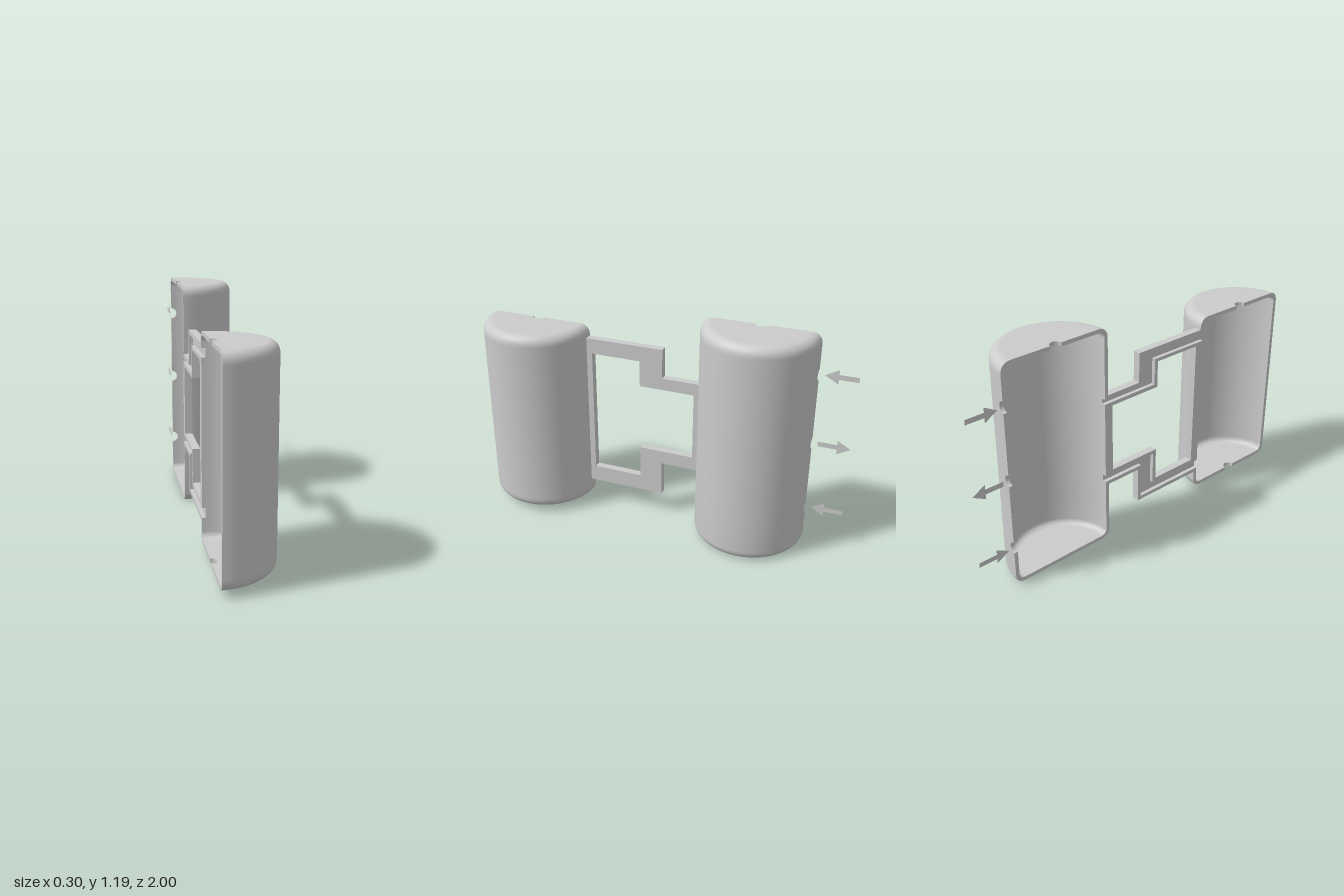
import * as THREE from 'three';
import { toCreasedNormals } from 'three/addons/utils/BufferGeometryUtils.js';

const CUT = -0.148;      // x of the section plane
const R = 0.296;         // tank radius
const WALL = 0.02;       // wall thickness of tanks and pipes
const FILLET = 0.05;
const SEGMENTS = 48;
const HOLE = 0.03;       // radius of the ports

const grey = new THREE.MeshStandardMaterial({ color: 0xcccccc });
const greyFlat = new THREE.MeshStandardMaterial({ color: 0xcccccc, side: THREE.DoubleSide });

function addMesh(parent, name, geometry, material = grey) {
  const mesh = new THREE.Mesh(geometry, material);
  mesh.name = name;
  parent.add(mesh);
  return mesh;
}

// Adds the triangles of a grid of points to a position list
function sheet(rows, out) {
  for (let i = 0; i < rows.length - 1; i++) {
    for (let j = 0; j < rows[i].length - 1; j++) {
      const a = rows[i][j], b = rows[i + 1][j], c = rows[i + 1][j + 1], d = rows[i][j + 1];
      for (const tri of [[a, b, c], [a, c, d]]) {
        const area = tri[1].clone().sub(tri[0]).cross(tri[2].clone().sub(tri[0])).length();
        if (area > 1e-10) for (const p of tri) out.push(p.x, p.y, p.z);
      }
    }
  }
}

// Side-wall rows [y, front notch depth, back notch depth], from top to bottom
const slot = (top, bottom, front) =>
  [[top, 0], [top, WALL], [bottom, WALL], [bottom, 0]].map(([y, d]) => (front ? [y, d, 0] : [y, 0, d]));

function roundPort(y) {
  const rows = [];
  for (let k = -6; k <= 6; k++) {
    const a = (k * Math.PI) / 12;
    rows.push([y - HOLE * Math.sin(a), 0, Math.max(0, HOLE * Math.cos(a))]);
  }
  return rows;
}

// Hollow half tank, open at the section plane, with notches in its straight edges
function halfTank({ z, bottom, top, topHole, bottomHole, notches }) {
  const layer = (inset) => {
    const r = R - inset, f = FILLET - inset, t = top - inset, b = bottom + inset;
    const profile = [[topHole, t, 0, 0], [r - f - 0.01, t, 0, 0]];
    for (let k = 0; k <= 6; k++) {
      const a = (k * Math.PI) / 12;
      profile.push([r - f + f * Math.sin(a), t - f + f * Math.cos(a), 0, 0]);
    }
    profile.push([r, t - f - 0.01, 0, 0]);
    for (const [y, front, back] of notches) profile.push([r, y, front, back]);
    profile.push([r, b + f + 0.01, 0, 0]);
    for (let k = 6; k >= 0; k--) {
      const a = (k * Math.PI) / 12;
      profile.push([r - f + f * Math.sin(a), b + f - f * Math.cos(a), 0, 0]);
    }
    profile.push([r - f - 0.01, b, 0, 0], [bottomHole, b, 0, 0]);

    return profile.map(([radius, y, front, back]) => {
      const start = front ? Math.asin(front / radius) : 0;
      const end = Math.PI - (back ? Math.asin(back / radius) : 0);
      return Array.from({ length: SEGMENTS + 1 }, (_, k) => {
        const a = Math.min(Math.max((k / SEGMENTS) * Math.PI, start), end);
        return new THREE.Vector3(CUT + radius * Math.sin(a), y, z + radius * Math.cos(a));
      });
    });
  };

  const outer = layer(0), inner = layer(WALL), positions = [];
  sheet([inner[0], ...outer, ...inner.slice().reverse()], positions);
  // Rims on the section plane
  const column = (rows, k) => rows.map((row) => row[k]);
  sheet([column(outer, 0), column(inner, 0)], positions);
  sheet([column(inner, SEGMENTS), column(outer, SEGMENTS)], positions);

  const geometry = new THREE.BufferGeometry();
  geometry.setAttribute('position', new THREE.Float32BufferAttribute(positions, 3));
  return toCreasedNormals(geometry, 0.6);
}

// Outline in (z, y), extruded along x from x0 to x1
const points = (list) => list.map(([z, y]) => new THREE.Vector2(z, y));
function slab(outline, hole, x0, x1) {
  const shape = new THREE.Shape(points(outline));
  if (hole) shape.holes.push(new THREE.Path(points(hole)));
  return new THREE.ExtrudeGeometry(shape, { depth: x1 - x0, bevelEnabled: false })
    .rotateY(-Math.PI / 2)
    .translate(x1, 0, 0);
}

// Flat arrow along z
function arrow(tip, tail, y) {
  const dir = Math.sign(tail - tip), neck = tip + dir * 0.068, s = 0.013, h = 0.038;
  const outline = [[tip, y], [neck, y + h], [neck, y + s], [tail, y + s],
    [tail, y - s], [neck, y - s], [neck, y - h]];
  return new THREE.ShapeGeometry(new THREE.Shape(points(outline)))
    .rotateY(-Math.PI / 2)
    .translate(CUT, 0, 0);
}

export function createModel() {
  const model = new THREE.Group();
  model.name = 'sectionedTanks';

  // Tanks
  addMesh(model, 'frontTank', halfTank({
    z: 0.704, bottom: 0.027, top: 1.057, topHole: HOLE, bottomHole: HOLE,
    notches: [...slot(0.975, 0.93, false), ...slot(0.2, 0.15, false)],
  }));
  const ports = [0.98, 0.6, 0.22];
  addMesh(model, 'backTank', halfTank({
    z: -0.511, bottom: 0, top: 1.193, topHole: HOLE, bottomHole: 0,
    notches: [...roundPort(ports[0]), ...slot(0.815, 0.79, true), ...roundPort(ports[1]),
      ...slot(0.38, 0.345, true), ...roundPort(ports[2])],
  }));

  // Stepped square pipes, cut open as channels
  const pipes = new THREE.Group();
  pipes.name = 'pipes';
  model.add(pipes);
  const outside = CUT + 0.04, floor = CUT + 0.02;
  const opening = [[0.38, 0.912], [0.11, 0.912], [0.11, 0.77], [-0.188, 0.77],
    [-0.188, 0.4], [0.11, 0.4], [0.11, 0.22], [0.38, 0.22]];
  const plate = [[0.42, 0.995], [-0.015, 0.995], [-0.015, 0.835], [-0.225, 0.835],
    [-0.225, 0.325], [-0.015, 0.325], [-0.015, 0.13], [0.42, 0.13]];
  const ring = [[0.41, 0.93], [0.09, 0.93], [0.09, 0.79], [-0.217, 0.79],
    [-0.217, 0.38], [0.09, 0.38], [0.09, 0.2], [0.41, 0.2]];
  addMesh(pipes, 'pipeFloor', slab(plate, opening, floor, outside));
  addMesh(pipes, 'pipeInnerWall', slab(ring, opening, CUT, floor));

  const outerWall = (high, low, w) => [[0.425, high], [-0.015, high], [-0.015, low], [-0.235, low],
    [-0.235, low - w], [0.005, low - w], [0.005, high - w], [0.425, high - w]];
  addMesh(pipes, 'upperPipeOuterWall', slab(outerWall(0.995, 0.835, WALL), null, CUT, floor));
  addMesh(pipes, 'lowerPipeOuterWall', slab(outerWall(0.13, 0.325, -WALL), null, CUT, floor));

  // Flow arrows: in, out, in
  const near = -0.835, far = -1;
  ports.forEach((y, i) => {
    const outward = i === 1;
    addMesh(model, outward ? 'outflowArrow' : 'inflowArrow',
      outward ? arrow(far, near, y) : arrow(near, far, y), greyFlat);
  });

  return model;
}
